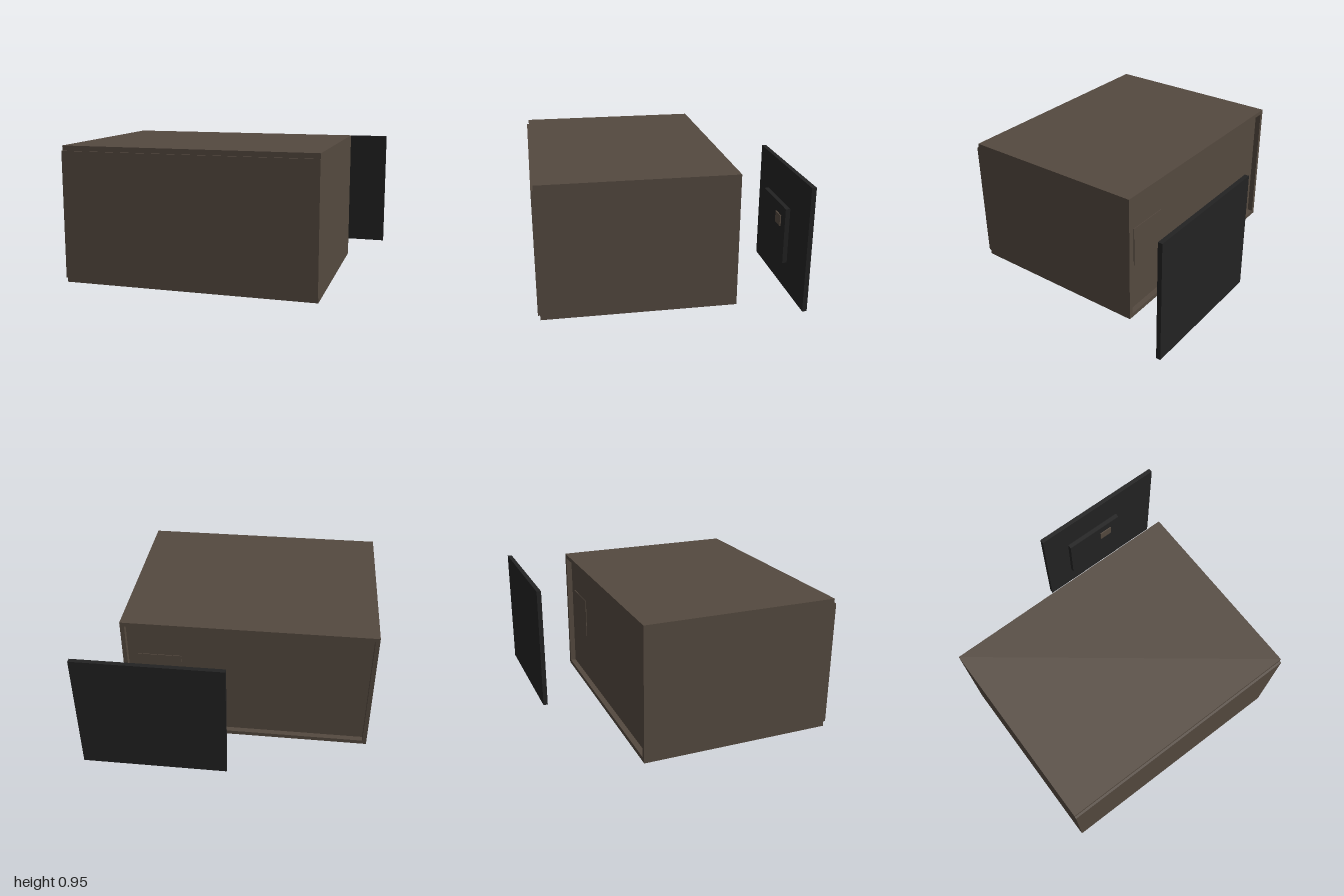
import * as THREE from 'three';

export function createModel() {
  const model = new THREE.Group();
  const brown = new THREE.MeshStandardMaterial({ color: 0x54493f });
  brown.name = 'cabinet brown';
  const black = new THREE.MeshStandardMaterial({ color: 0x222222 });
  black.name = 'plate black';

  // Box given by its lower and upper corner
  const box = (name, material, [x0, y0, z0], [x1, y1, z1]) => {
    const mesh = new THREE.Mesh(new THREE.BoxGeometry(x1 - x0, y1 - y0, z1 - z0), material);
    mesh.position.set((x0 + x1) / 2, (y0 + y1) / 2, (z0 + z1) / 2);
    mesh.name = name;
    model.add(mesh);
  };

  // Cabinet: front panel, shell and recessed back panel
  const L = -1, R = 0.76, H = 0.95, back = -0.475, front = 0.88, wall = 0.03;
  box('frontPanel', brown, [L, 0.035, front], [R, 0.915, 0.895]);
  box('frontBaffle', brown, [L + wall, wall, front - wall], [R - wall, H - wall, front]);
  box('backPanel', brown, [L + wall, wall, back + 0.04], [R - wall, H - wall, back + 0.07]);

  const outline = new THREE.Shape([[L, 0], [R, 0], [R, H], [L, H]].map(p => new THREE.Vector2(...p)));
  outline.holes.push(new THREE.Path(
    [[L + wall, wall], [L + wall, H - wall], [R - wall, H - wall], [R - wall, wall]]
      .map(p => new THREE.Vector2(...p))));
  const shell = new THREE.Mesh(
    new THREE.ExtrudeGeometry(outline, { depth: front - back, bevelEnabled: false }), brown);
  shell.position.z = back;
  shell.name = 'cabinetShell';
  model.add(shell);

  // Small mounting plate on the back panel
  box('mountingPlate', brown, [0.35, 0.38, back + 0.035], [0.66, 0.67, back + 0.045]);

  // Detached rear plate with its electronics block and connector
  box('rearPlate', black, [-0.02, 0.035, -0.895], [1, 0.915, -0.863]);
  box('electronicsBlock', black, [0.19, 0.24, -0.863], [0.655, 0.645, -0.83]);
  box('connector', brown, [0.475, 0.49, -0.83], [0.575, 0.57, -0.822]);

  return model;
}
